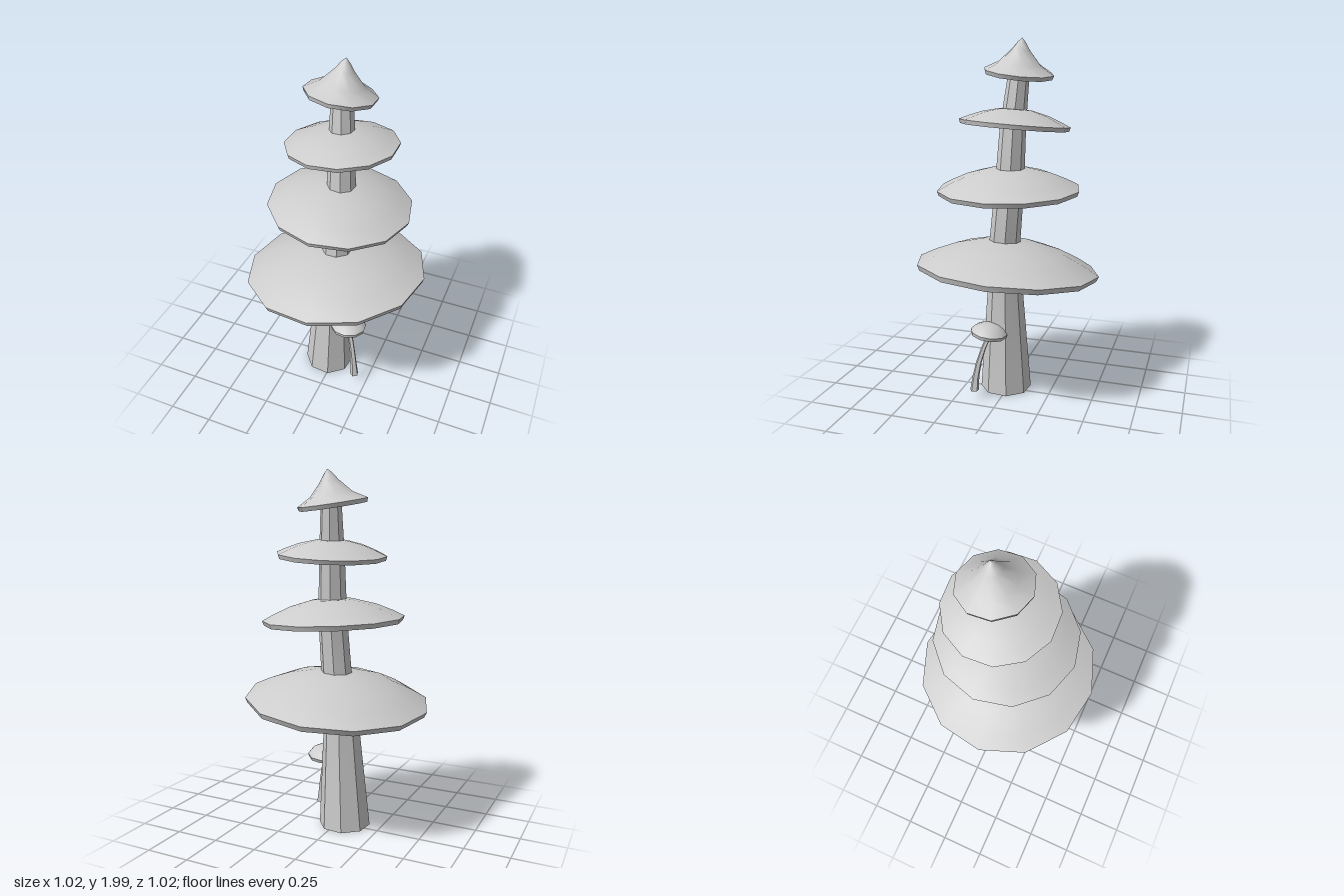
import * as THREE from 'three';
import { toCreasedNormals } from 'three/addons/utils/BufferGeometryUtils.js';

const rad = THREE.MathUtils.degToRad;

// Faceted tube through rings of [x, y, z, radius]
function loft(rings, sides, startDeg) {
  const pos = [], idx = [];
  for (const [x, y, z, r] of rings) {
    for (let j = 0; j < sides; j++) {
      const a = rad(startDeg) + (j / sides) * Math.PI * 2;
      pos.push(x + r * Math.cos(a), y, z + r * Math.sin(a));
    }
  }
  for (let i = 0; i < rings.length - 1; i++) {
    for (let j = 0; j < sides; j++) {
      const a = i * sides + j, b = i * sides + (j + 1) % sides;
      idx.push(a, a + sides, b + sides, a, b + sides, b);
    }
  }
  const g = new THREE.BufferGeometry();
  g.setAttribute('position', new THREE.Float32BufferAttribute(pos, 3));
  g.setIndex(idx);
  return toCreasedNormals(g, 0.3);
}

// Tilted polygonal cap: profile runs from under the centre, round the rim, to the top
function cap(name, material, { at, slope, sides, turn, profile }) {
  const points = profile.map(([r, y]) => new THREE.Vector2(r, y));
  const lathe = new THREE.LatheGeometry(points, sides, Math.PI / 2 - rad(turn));
  const mesh = new THREE.Mesh(toCreasedNormals(lathe, 0.72), material);
  mesh.name = name;
  mesh.position.set(...at);
  const normal = new THREE.Vector3(-slope[0], 1, -slope[1]).normalize();
  mesh.quaternion.setFromUnitVectors(new THREE.Vector3(0, 1, 0), normal);
  return mesh;
}

// Rounded shelf profile with radius r and dome height h above the rim
function dome(r, h, rim) {
  return [
    [0, 0], [r * 0.975, -rim], [r, rim * 0.5],
    [r * 0.83, h * 0.36], [r * 0.6, h * 0.68], [r * 0.3, h * 0.94], [0, h],
  ];
}

export function createModel() {
  const group = new THREE.Group();
  const grey = new THREE.MeshStandardMaterial({ color: 0xcccccc, side: THREE.DoubleSide });
  grey.name = 'light grey';

  // Tapering, slightly swaying trunk, open at the foot
  const trunk = new THREE.Mesh(loft([
    [-0.037, 0.01, 0.02, 0.146],
    [-0.012, 0.72, 0.018, 0.092],
    [0.012, 0.92, 0.01, 0.086],
    [0.02, 1.22, -0.018, 0.08],
    [0.015, 1.55, -0.036, 0.07],
    [0.004, 1.85, -0.068, 0.055],
  ], 8, 28), grey);
  trunk.name = 'trunk';
  group.add(trunk);

  // Shelf caps from bottom to top
  group.add(
    cap('lowerCap', grey, {
      at: [0, 0.75, 0], slope: [0.085, 0.055], sides: 12, turn: -5,
      profile: dome(0.515, 0.16, 0.02),
    }),
    cap('middleCap', grey, {
      at: [0.017, 1.2, -0.013], slope: [-0.04, 0], sides: 12, turn: 2,
      profile: dome(0.393, 0.12, 0.017),
    }),
    cap('upperCap', grey, {
      at: [0.0125, 1.552, -0.045], slope: [0.065, 0.065], sides: 12, turn: 12.5,
      profile: dome(0.3, 0.085, 0.015),
    }),
    // Concave pointed cap
    cap('topCap', grey, {
      at: [-0.002, 1.82, -0.062], slope: [-0.1, 0.13], sides: 10, turn: 16,
      profile: [[0, 0], [0.182, -0.014], [0.19, 0.008], [0.115, 0.05], [0.05, 0.12], [0.02, 0.162], [0, 0.181]],
    }),
  );

  // Small side mushroom with a bent stem
  const sprout = new THREE.Group();
  sprout.name = 'smallMushroom';
  const stem = new THREE.Mesh(loft([
    [0.178, 0.062, 0.14, 0.026],
    [0.17, 0.14, 0.134, 0.02],
    [0.157, 0.22, 0.121, 0.017],
    [0.137, 0.3, 0.1, 0.015],
    [0.108, 0.37, 0.076, 0.015],
    [0.1, 0.41, 0.07, 0.013],
  ], 5, 20), grey);
  stem.name = 'smallStem';
  sprout.add(stem, cap('smallCap', grey, {
    at: [0.11, 0.391, 0.075], slope: [0.03, 0.13], sides: 10, turn: 10,
    profile: [[0, 0.002], [0.1, -0.014], [0.105, 0.006], [0.085, 0.03], [0.05, 0.047], [0, 0.054]],
  }));
  group.add(sprout);

  return group;
}
